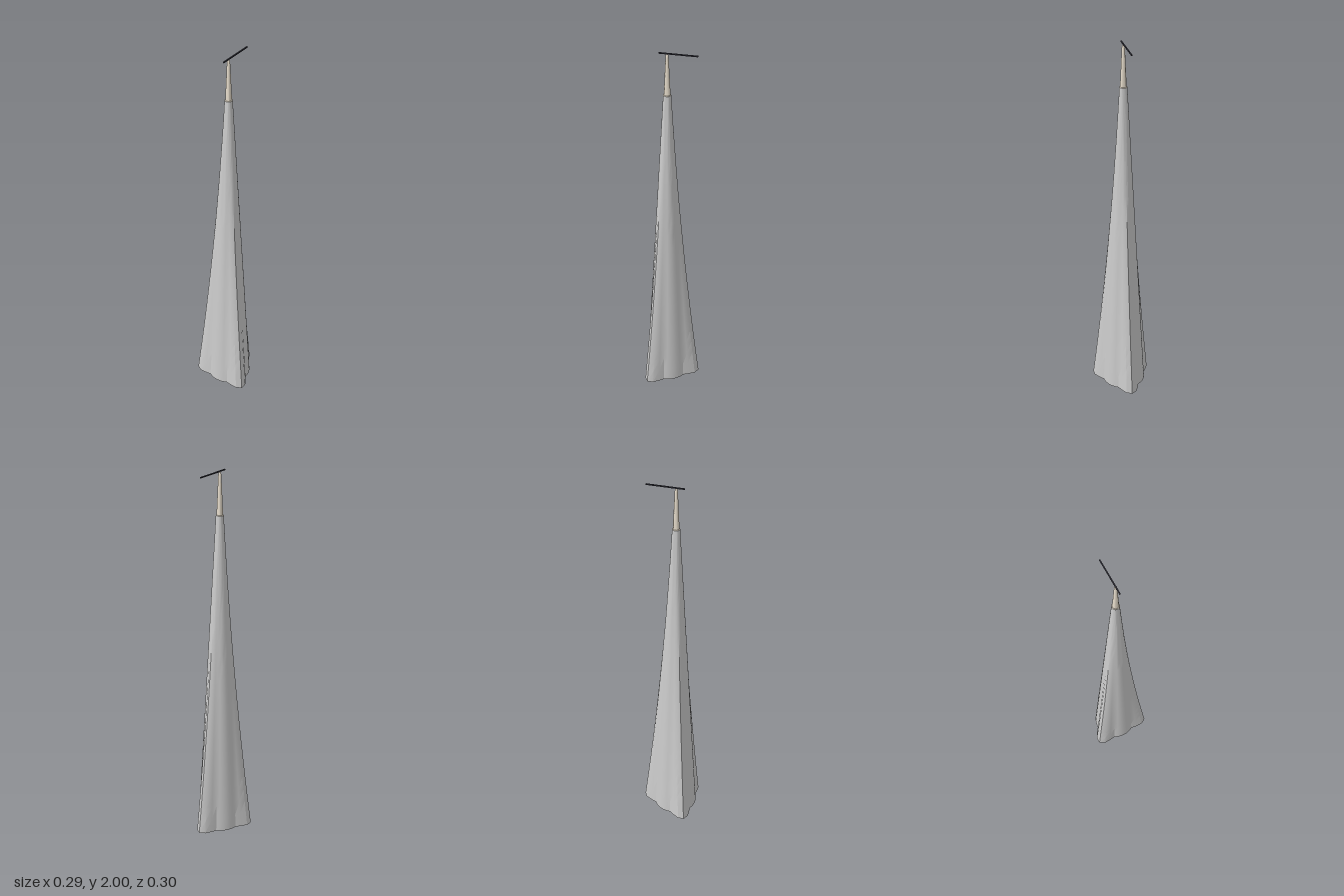
import * as THREE from 'three';
import { toCreasedNormals } from 'three/addons/utils/BufferGeometryUtils.js';

const AXIS_X = -0.032;
const SHAFT_TOP = 1.77;
// Rib height beyond the round shaft at 0, 10, 20 and 30 degrees from each rib's centre
const RIB = [0.061, 0.047, 0.02, 0];

// Tapering shaft whose three ribs melt into a round section toward the top
function shaftGeometry() {
  const sides = 36, rows = 24;
  const geometry = new THREE.CylinderGeometry(1, 1, SHAFT_TOP, sides, rows, true);
  const pos = geometry.attributes.position;
  for (let i = 0; i < pos.count; i++) {
    const column = i % (sides + 1);
    const t = Math.floor(i / (sides + 1)) / rows; // 0 at the top, 1 at the base
    const step = column % 12;
    const rib = RIB[Math.min(step, 12 - step)] ?? 0;
    const r = THREE.MathUtils.lerp(0.02, 0.115, t) + rib * t * t;
    const a = column * Math.PI * 2 / sides;
    // angle runs from +x toward -z, which keeps the faces outward
    pos.setXYZ(i, r * Math.cos(a), SHAFT_TOP * (1 - t), -r * Math.sin(a));
  }
  return toCreasedNormals(geometry, Math.PI / 6);
}

export function createModel() {
  const model = new THREE.Group();
  const add = (name, geometry, color, x, y) => {
    const mesh = new THREE.Mesh(geometry,
      new THREE.MeshStandardMaterial({ color, side: THREE.DoubleSide }));
    mesh.name = name;
    mesh.position.set(x, y, 0);
    model.add(mesh);
  };

  add('shaft', shaftGeometry(), 0xcccccc, AXIS_X, 0);

  // Pale tapering cap with a rounded tip
  const cap = [[0.02, SHAFT_TOP], [0.0165, SHAFT_TOP + 0.003], [0.008, 1.975],
    [0.0065, 1.988], [0.004, 1.994], [0, 1.996]];
  add('tipCap', toCreasedNormals(new THREE.LatheGeometry(
    cap.map(([r, y]) => new THREE.Vector2(r, y)), 32), Math.PI / 5), 0xe6dccb, AXIS_X, 0);

  // Thin off-centre bar across the tip
  add('crossBar', new THREE.BoxGeometry(0.194, 0.006, 0.006), 0x33333c, 0.023, 1.997);

  return model;
}
